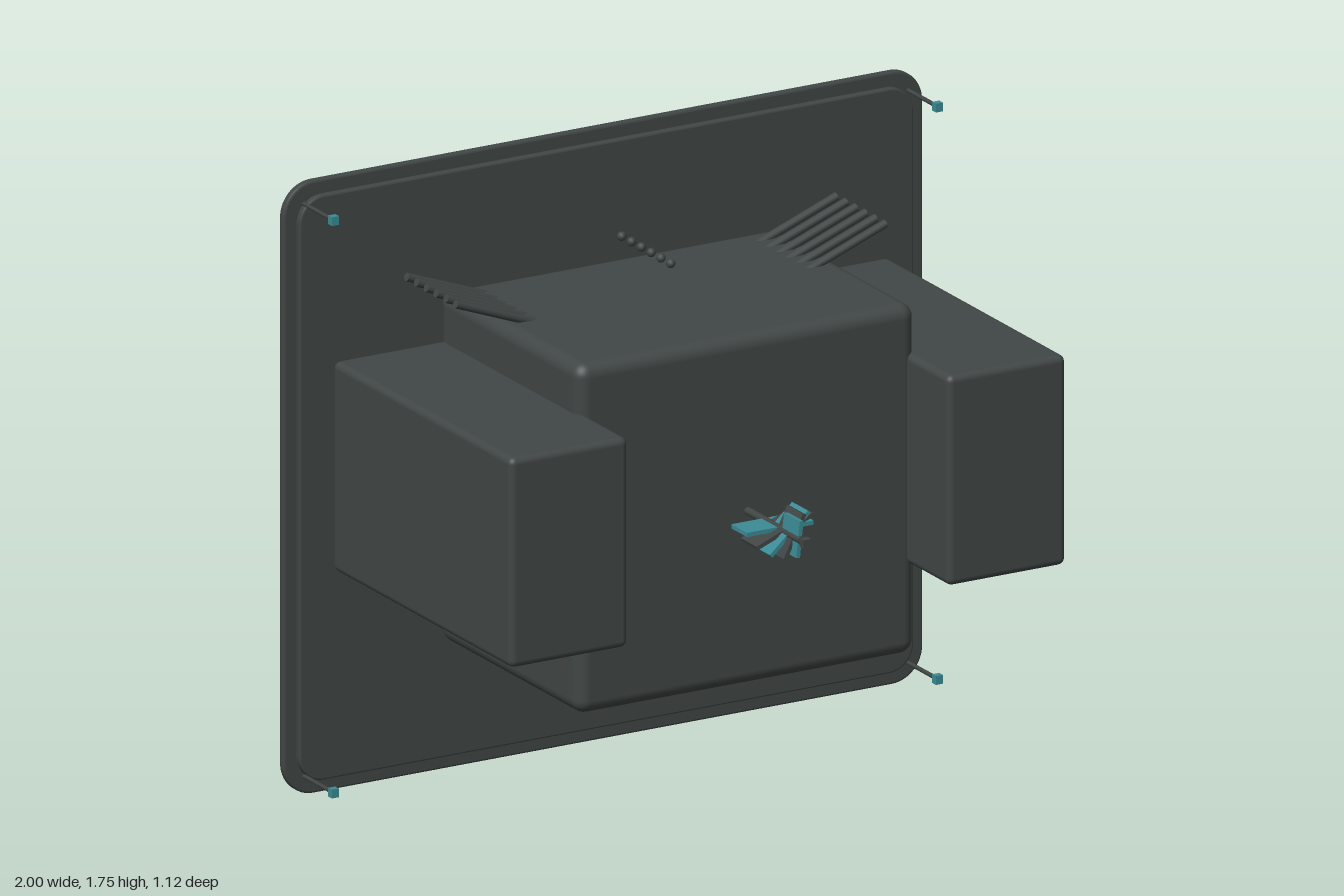
import * as THREE from 'three';
import { RoundedBoxGeometry } from 'three/addons/geometries/RoundedBoxGeometry.js';

export function createModel() {
  const model = new THREE.Group();
  const graphite = new THREE.MeshStandardMaterial({ color: 0x414746 });
  graphite.name = 'graphite';
  const teal = new THREE.MeshStandardMaterial({ color: 0x3c8c96 });
  teal.name = 'teal';

  function add(name, geometry, material, x = 0, y = 0, z = 0, parent = model) {
    const mesh = new THREE.Mesh(geometry, material);
    mesh.name = name;
    mesh.position.set(x, y, z);
    parent.add(mesh);
    return mesh;
  }

  // Rounded rectangular slab, centred in x and y, from z = 0 to z = depth
  function slab(w, h, r, depth, bevel) {
    const a = w / 2 - bevel, b = h / 2 - bevel;
    const s = new THREE.Shape();
    s.moveTo(-a + r, -b);
    s.lineTo(a - r, -b);
    s.absarc(a - r, -b + r, r, -Math.PI / 2, 0);
    s.lineTo(a, b - r);
    s.absarc(a - r, b - r, r, 0, Math.PI / 2);
    s.lineTo(-a + r, b);
    s.absarc(-a + r, b - r, r, Math.PI / 2, Math.PI);
    s.lineTo(-a, -b + r);
    s.absarc(-a + r, -b + r, r, Math.PI, Math.PI * 1.5);
    const g = new THREE.ExtrudeGeometry(s, {
      depth: depth - 2 * bevel, bevelEnabled: true, bevelSize: bevel,
      bevelThickness: bevel, bevelSegments: 2, curveSegments: 10,
    });
    return g.translate(0, 0, bevel);
  }

  // Stepped back panel
  add('backPanel', slab(2, 1.75, 0.09, 0.025, 0.006), graphite, 0, 0.875, -0.56);
  add('innerPanel', slab(1.92, 1.67, 0.07, 0.025, 0.005), graphite, 0, 0.875, -0.541);

  // Central housing
  add('mainHousing', new RoundedBoxGeometry(1.06, 1, 0.755, 4, 0.04), graphite, 0, 0.88, -0.1375);

  for (const side of [-1, 1]) {
    // Side pods with thin strips underneath
    add('sidePod', new RoundedBoxGeometry(0.37, 0.6, 0.96, 3, 0.02), graphite, side * 0.685, 0.94, -0.02);
    for (let i = 0; i < 8; i++) {
      add('podStrip', new THREE.BoxGeometry(0.25, 0.009, 0.012), teal, side * 0.685, 0.6375, 0.4 - i * 0.1015);
    }
    // Corner pins with tips
    for (const y of [0.06, 1.695]) {
      const pin = add('cornerPin', new THREE.CylinderGeometry(0.006, 0.006, 0.16, 8), graphite, side * 0.945, y, -0.44);
      pin.rotation.x = Math.PI / 2;
      add('pinTip', new THREE.BoxGeometry(0.022, 0.025, 0.02), teal, side * 0.945, y, -0.362);
    }
  }

  // Sloping rods and a row of beads on top
  const from = new THREE.Vector2(0.42, 1.368), to = new THREE.Vector2(0.673, 1.464);
  const span = to.clone().sub(from);
  for (let i = 0; i < 6; i++) {
    const z = -0.437 + i * 0.0527;
    for (const side of [-1, 1]) {
      const rod = add('slopingRod', new THREE.CylinderGeometry(0.012, 0.012, span.length(), 10), graphite,
        side * (from.x + to.x) / 2, (from.y + to.y) / 2, z);
      rod.rotation.z = -side * Math.atan2(span.x, span.y);
    }
    add('topBead', new THREE.SphereGeometry(0.013, 12, 8), graphite, 0, 1.465, z);
  }

  // Spiral rotor of alternating blades on a shaft
  const rotor = new THREE.Group();
  rotor.name = 'rotor';
  rotor.position.set(0, 0.88, 0);
  model.add(rotor);
  const shaft = add('rotorShaft', new THREE.CylinderGeometry(0.011, 0.011, 0.29, 12), graphite, 0, 0, 0.385, rotor);
  shaft.rotation.x = Math.PI / 2;
  add('shaftTip', new THREE.BoxGeometry(0.024, 0.024, 0.022), graphite, 0, 0, 0.55, rotor);
  const halfLengths = [0.104, 0.094, 0.08, 0.067, 0.052];
  halfLengths.forEach((half, i) => {
    const blade = add('rotorBlade', new THREE.BoxGeometry(half * 2, 0.012, 0.085),
      i % 2 ? graphite : teal, 0, 0, 0.373 + i * 0.0262, rotor);
    blade.rotation.z = THREE.MathUtils.degToRad(i * 21);
  });

  return model;
}
